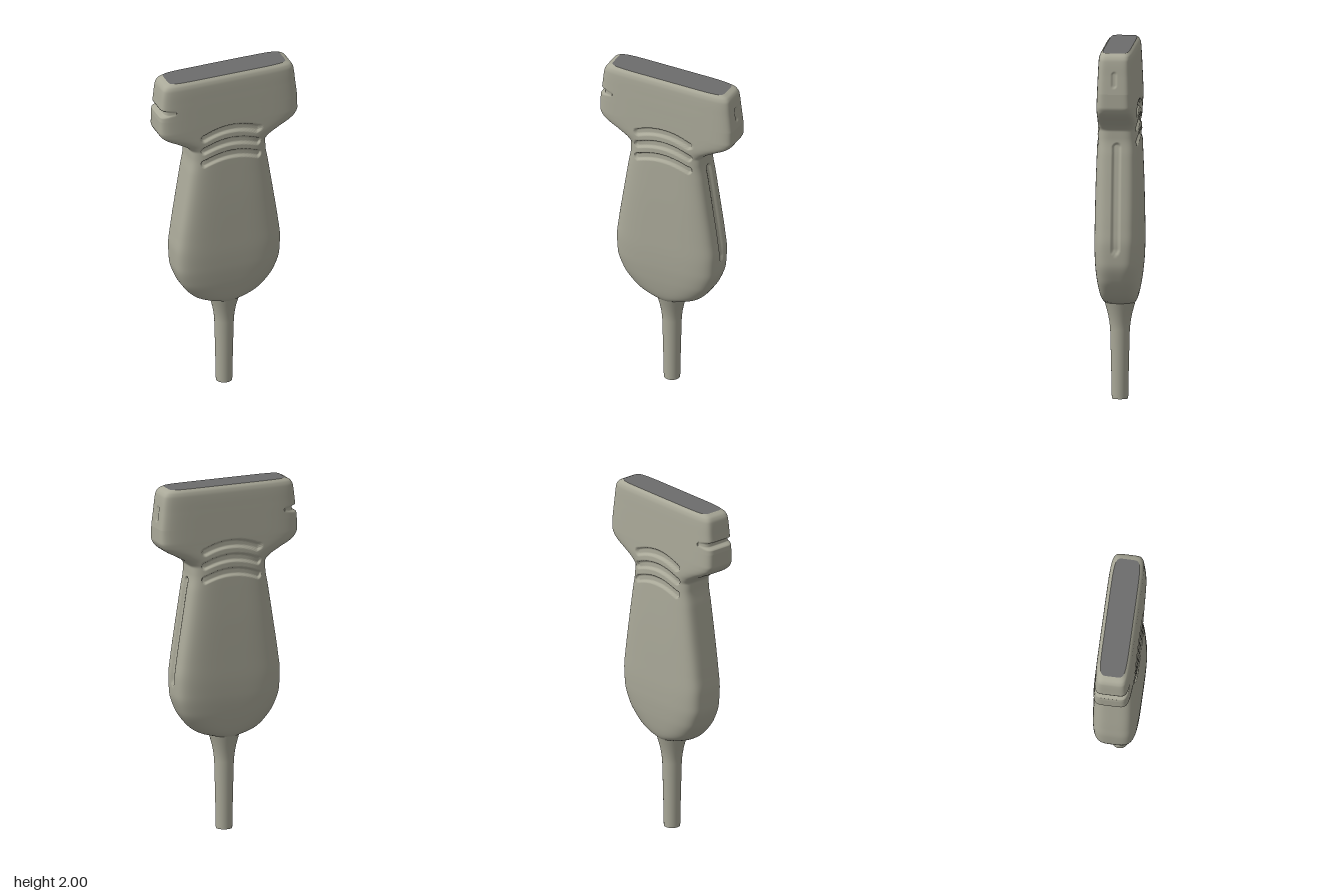
import * as THREE from 'three';

const bodyMat = new THREE.MeshStandardMaterial({ color: 0xa9a898 });
const lensMat = new THREE.MeshStandardMaterial({ color: 0x6c6c6c });

// Stations: [y, half width, half depth, squareness of the section]
const BODY = [
  [0.545, 0.085, 0.085, 2], [0.56, 0.14, 0.095, 2.3], [0.585, 0.19, 0.104, 2.7],
  [0.63, 0.235, 0.113, 3.2], [0.7, 0.28, 0.122, 3.8], [0.8, 0.31, 0.129, 4.2],
  [0.9, 0.313, 0.131, 4.4], [1.0, 0.302, 0.13, 4.4], [1.2, 0.272, 0.127, 4.4],
  [1.4, 0.241, 0.121, 4.4], [1.5, 0.226, 0.117, 4.4], [1.54, 0.226, 0.115, 4.4],
  [1.57, 0.25, 0.114, 4.6], [1.61, 0.315, 0.112, 5.2], [1.645, 0.378, 0.11, 6],
  [1.67, 0.404, 0.109, 6.6], [1.7, 0.416, 0.108, 7], [1.775, 0.416, 0.105, 7],
];
const HEAD = [
  [1.775, 0.416, 0.105, 7], [1.87, 0.405, 0.101, 7], [1.96, 0.394, 0.096, 7],
  [1.985, 0.38, 0.089, 7], [2.0, 0.352, 0.075, 7],
];

// Smooth interpolation between stations without overshoot
function station(list, y) {
  let i = 0;
  while (i < list.length - 2 && y > list[i + 1][0]) i++;
  const h = list[i + 1][0] - list[i][0];
  const t = (y - list[i][0]) / h;
  const secant = (k, c) => (list[k + 1][c] - list[k][c]) / (list[k + 1][0] - list[k][0]);
  const slope = (k, c) => {
    if (k === 0) return secant(0, c);
    if (k === list.length - 1) return secant(k - 1, c);
    const p = secant(k - 1, c), q = secant(k, c);
    return p * q <= 0 ? 0 : (2 * p * q) / (p + q);
  };
  return [1, 2, 3].map((c) =>
    list[i][c] * (1 + 2 * t) * (1 - t) ** 2 + list[i + 1][c] * t * t * (3 - 2 * t) +
    h * (slope(i, c) * t * (1 - t) ** 2 + slope(i + 1, c) * t * t * (t - 1)));
}

// Directions around a square, counted front, +x side, back, -x side
const NF = 80, NS = 40;
const RING = [];
for (let j = 0; j < NF; j++) RING.push([-1 + (2 * j) / NF, 1]);
for (let j = 0; j < NS; j++) RING.push([1, 1 - (2 * j) / NS]);
for (let j = 0; j < NF; j++) RING.push([1 - (2 * j) / NF, -1]);
for (let j = 0; j < NS; j++) RING.push([-1, -1 + (2 * j) / NS]);

function sectionPoint([a, b, n], [u, v]) {
  const s = (Math.abs(u) ** n + Math.abs(v) ** n) ** (-1 / n);
  return [a * u * s, b * v * s];
}

// Recess with steep walls around a centre line
const recess = (distance, radius, depth) =>
  depth * (1 - THREE.MathUtils.smoothstep(distance, radius - 0.009, radius + 0.002));
const clamp = THREE.MathUtils.clamp;

// Three curved finger grooves front and back, one long groove on the +x side
function bodyGrooves(x, y, z, [u, v]) {
  if (Math.abs(v) === 1) {
    const cx = clamp(x, -0.158, 0.158);
    for (const yc of [1.668, 1.588, 1.508]) {
      const d = Math.hypot(x - cx, y - (yc - 1.4 * cx * cx));
      z -= Math.sign(z) * recess(d, 0.023, 0.014);
    }
  } else if (u === 1) {
    x -= recess(Math.hypot(z, y - clamp(y, 0.88, 1.45)), 0.024, 0.012);
  }
  return [x, y, z];
}

// Cross slot on the -x side, small marker recess on the +x side
function headGrooves(x, y, z) {
  if (x < -0.33) x += recess(Math.hypot(y - 1.825, z - clamp(z, -0.085, 0.085)), 0.02, 0.024);
  if (x > 0.33) x -= recess(Math.hypot(z, y - clamp(y, 1.825, 1.885)), 0.016, 0.006);
  return [x, y, z];
}

function loft(list, rows, carve) {
  const pos = [], idx = [], n = RING.length;
  rows.forEach((y, i) => {
    const st = station(list, y);
    RING.forEach((dir, j) => {
      const [x, z] = sectionPoint(st, dir);
      pos.push(...carve(x, y, z, dir));
      if (i === rows.length - 1) return;
      const k = (j + 1) % n, a = i * n + j, b = i * n + k;
      idx.push(a, b, b + n, a, b + n, a + n);
    });
  });
  const geo = new THREE.BufferGeometry();
  geo.setAttribute('position', new THREE.Float32BufferAttribute(pos, 3));
  geo.setIndex(idx);
  geo.computeVertexNormals();
  return geo;
}

const range = (from, to, count) =>
  Array.from({ length: count }, (_, i) => from + ((to - from) * i) / count);

export function createModel() {
  const model = new THREE.Group();
  model.name = 'handheldProbe';
  const add = (name, geo, mat = bodyMat) => {
    const mesh = new THREE.Mesh(geo, mat);
    mesh.name = name;
    model.add(mesh);
    return mesh;
  };

  // Grip with flared shoulders, finer rows where the grooves are
  const bodyRows = [...range(0.545, 0.65, 14), ...range(0.65, 1.42, 55), ...range(1.42, 1.775, 64), 1.775];
  add('gripBody', loft(BODY, bodyRows, bodyGrooves));

  // Tapered head
  const headRows = [...range(1.775, 1.96, 34), ...range(1.96, 2, 8), 2];
  add('head', loft(HEAD, headRows, headGrooves));

  // Flat contact window on top
  const outline = RING.map((dir) => new THREE.Vector2(...sectionPoint(HEAD[4].slice(1), dir)));
  const lens = add('contactWindow', new THREE.ShapeGeometry(new THREE.Shape(outline)), lensMat);
  lens.rotation.x = -Math.PI / 2;
  lens.position.y = 2;

  // Cable sleeve flaring into the grip
  const sleeve = [
    [0.046, 0], [0.05, 0.2], [0.055, 0.39], [0.059, 0.43], [0.067, 0.475], [0.079, 0.52], [0.087, 0.55],
  ].map(([r, y]) => new THREE.Vector2(r, y));
  add('cableSleeve', new THREE.LatheGeometry(sleeve, 32));
  const end = add('sleeveEnd', new THREE.CircleGeometry(0.046, 32));
  end.rotation.x = Math.PI / 2;

  return model;
}
